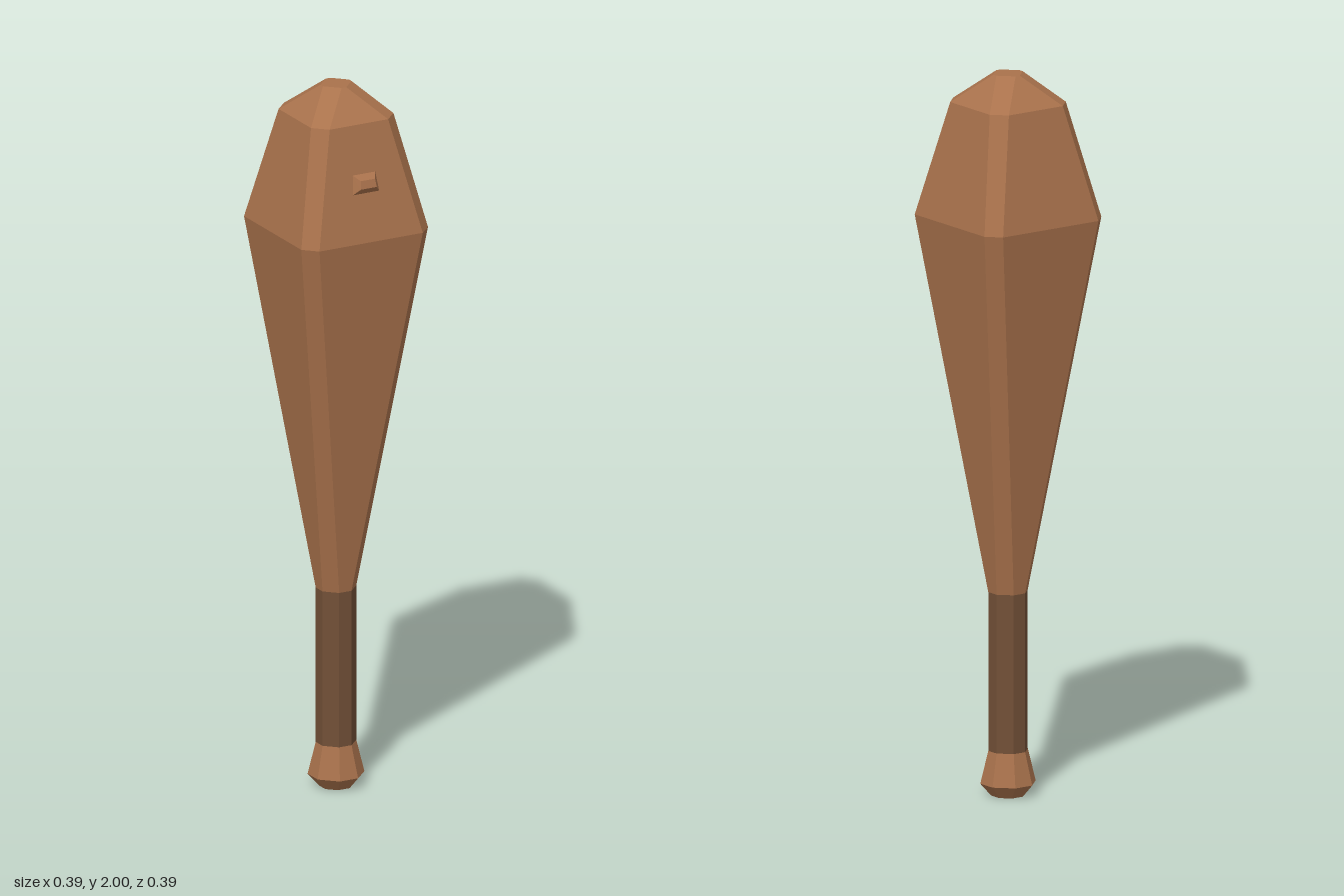
import * as THREE from 'three';

// Skin a stack of equal-length rings, each clockwise as seen from the far end.
function loft(rings, capStart, capEnd) {
  const pos = [];
  const tri = (...pts) => pts.forEach((p) => pos.push(...p));
  const n = rings[0].length;
  for (let r = 0; r < rings.length - 1; r++) {
    for (let i = 0; i < n; i++) {
      const j = (i + 1) % n;
      const a = rings[r][i], b = rings[r][j], c = rings[r + 1][j], d = rings[r + 1][i];
      tri(b, a, d);
      tri(b, d, c);
    }
  }
  const first = rings[0], last = rings[rings.length - 1];
  for (let i = 1; i < n - 1; i++) {
    if (capStart) tri(first[0], first[i], first[i + 1]);
    if (capEnd) tri(last[0], last[i + 1], last[i]);
  }
  const geo = new THREE.BufferGeometry();
  geo.setAttribute('position', new THREE.Float32BufferAttribute(pos, 3));
  geo.computeVertexNormals();
  return geo;
}

// Square section with chamfered corners: h = half width, f = half of the flat side.
const section = ([y, h, f]) => [
  [h, y, f], [f, y, h], [-f, y, h], [-h, y, f],
  [-h, y, -f], [-f, y, -h], [f, y, -h], [h, y, -f],
];

export function createModel() {
  const wood = new THREE.MeshStandardMaterial({ color: 0xa9724c });
  wood.name = 'wood';
  const grip = new THREE.MeshStandardMaterial({ color: 0x725037 });
  grip.name = 'darkGrip';

  const group = new THREE.Group();
  group.name = 'club';
  const add = (name, geo, mat) => {
    const mesh = new THREE.Mesh(geo, mat);
    mesh.name = name;
    group.add(mesh);
  };

  // Flared end of the handle
  add('pommel', loft([
    [0, 0.043, 0.018], [0.035, 0.072, 0.028], [0.125, 0.052, 0.019],
  ].map(section), true, false), wood);

  // Straight dark handle
  add('handle', loft([
    [0.125, 0.052, 0.019], [0.565, 0.052, 0.019],
  ].map(section), false, false), grip);

  // Widening head with tapered top
  add('head', loft([
    [0.565, 0.052, 0.019], [1.605, 0.195, 0.159], [1.92, 0.127, 0.09], [2, 0.044, 0.007],
  ].map(section), false, true), wood);

  // Small knot standing out of the front face
  add('knot', loft([
    [[-0.036, 1.79, 0.153], [0.036, 1.79, 0.153], [0.042, 1.735, 0.165], [-0.042, 1.735, 0.165]],
    [[-0.022, 1.777, 0.177], [0.022, 1.777, 0.177], [0.024, 1.755, 0.183], [-0.024, 1.755, 0.183]],
  ], false, true), wood);

  return group;
}
